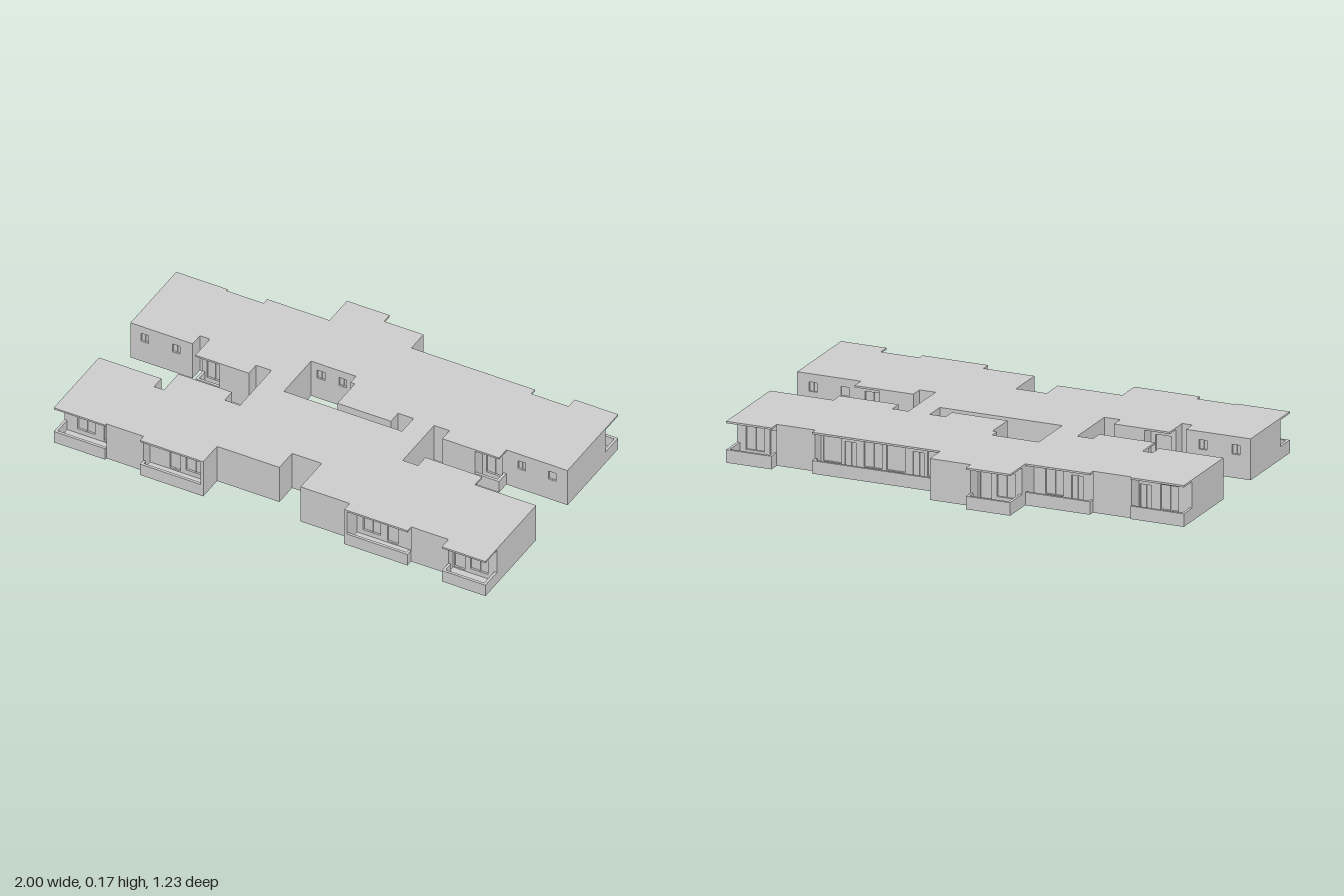
import * as THREE from 'three';

const ROOF = 0.175, SLAB = 0.008, FLOOR = 0.008, WALL = 0.012, RAIL = 0.055;

// Plan outlines as [x, z], clockwise seen from above
const footprint = [
  [-1, -0.45], [-0.765, -0.45], [-0.765, -0.44], [-0.595, -0.44], [-0.595, -0.47], [-0.31, -0.47],
  [-0.31, -0.615], [-0.115, -0.615], [-0.115, -0.57], [0.065, -0.57], [0.065, -0.47], [0.63, -0.47],
  [0.63, -0.44], [0.8, -0.44], [0.8, -0.49], [1, -0.49], [1, -0.07], [0.72, -0.07], [0.72, -0.01],
  [0.46, -0.01], [0.46, -0.07], [0.39, -0.07], [0.39, 0.19], [0.46, 0.19], [0.46, 0.13], [0.72, 0.13],
  [0.72, 0.19], [1, 0.19], [1, 0.61], [0.8, 0.61], [0.8, 0.555], [0.63, 0.555], [0.63, 0.585],
  [0.34, 0.585], [0.34, 0.54], [0.115, 0.54], [0.115, 0.365], [-0.02, 0.365], [-0.02, 0.47],
  [-0.305, 0.47], [-0.305, 0.585], [-0.595, 0.585], [-0.595, 0.555], [-0.765, 0.555], [-0.765, 0.565],
  [-1, 0.565], [-1, 0.19], [-0.715, 0.19], [-0.715, 0.25], [-0.67, 0.25], [-0.67, 0.13],
  [-0.425, 0.13], [-0.425, 0.19], [-0.355, 0.19], [-0.355, -0.07], [-0.425, -0.07], [-0.425, -0.01],
  [-0.67, -0.01], [-0.67, -0.13], [-0.715, -0.13], [-0.715, -0.07], [-1, -0.07],
];
const courtyard = [
  [-0.245, -0.2], [-0.04, -0.2], [-0.04, -0.155], [-0.02, -0.155], [-0.02, -0.01], [0.225, -0.01],
  [0.225, -0.07], [0.295, -0.07], [0.295, 0.025], [-0.245, 0.025],
];
// Enclosed rooms: the footprint with balconies and loggias set back
const rooms = [
  [-1, -0.37], [-0.765, -0.37], [-0.765, -0.44], [-0.595, -0.44], [-0.595, -0.385], [-0.31, -0.385],
  [-0.31, -0.5], [-0.115, -0.5], [-0.115, -0.57], [0.065, -0.57], [0.065, -0.385], [0.63, -0.385],
  [0.63, -0.44], [0.8, -0.44], [0.8, -0.385], [1, -0.385], [1, -0.07], [0.61, -0.07], [0.61, -0.01],
  [0.46, -0.01], [0.46, -0.07], [0.39, -0.07], [0.39, 0.19], [0.46, 0.19], [0.46, 0.13], [0.61, 0.13],
  [0.61, 0.19], [1, 0.19], [1, 0.515], [0.8, 0.515], [0.8, 0.555], [0.63, 0.555], [0.63, 0.5],
  [0.34, 0.5], [0.34, 0.54], [0.115, 0.54], [0.115, 0.365], [-0.02, 0.365], [-0.02, 0.47],
  [-0.305, 0.47], [-0.305, 0.5], [-0.595, 0.5], [-0.595, 0.555], [-0.765, 0.555], [-0.765, 0.475],
  [-1, 0.475], [-1, 0.19], [-0.715, 0.19], [-0.715, 0.25], [-0.67, 0.25], [-0.67, 0.19], [-0.56, 0.19],
  [-0.56, 0.13], [-0.425, 0.13], [-0.425, 0.19], [-0.355, 0.19], [-0.355, -0.07], [-0.425, -0.07],
  [-0.425, -0.01], [-0.56, -0.01], [-0.56, -0.07], [-0.67, -0.07], [-0.67, -0.13], [-0.715, -0.13],
  [-0.715, -0.07], [-1, -0.07],
];
// Outer edges of balconies and loggias
const balconies = [
  [[-1, -0.37], [-1, -0.45], [-0.765, -0.45], [-0.765, -0.44]],
  [[-0.595, -0.44], [-0.595, -0.47], [-0.31, -0.47]],
  [[-0.31, -0.5], [-0.31, -0.615], [-0.115, -0.615], [-0.115, -0.57]],
  [[0.065, -0.47], [0.63, -0.47], [0.63, -0.44]],
  [[0.8, -0.44], [0.8, -0.49], [1, -0.49], [1, -0.385]],
  [[0.72, -0.07], [0.72, -0.01], [0.61, -0.01]],
  [[0.61, 0.13], [0.72, 0.13], [0.72, 0.19]],
  [[1, 0.515], [1, 0.61], [0.8, 0.61], [0.8, 0.555]],
  [[0.63, 0.555], [0.63, 0.585], [0.34, 0.585]],
  [[-0.305, 0.585], [-0.595, 0.585], [-0.595, 0.555]],
  [[-0.765, 0.555], [-0.765, 0.565], [-1, 0.565], [-1, 0.475]],
  [[-0.67, 0.19], [-0.67, 0.13], [-0.56, 0.13]],
  [[-0.56, -0.01], [-0.67, -0.01], [-0.67, -0.07]],
];
// Openings as [x, z, width, sill, head]
const openings = [];
const door = (x, z) => openings.push([x, z, 0.05, 0.014, 0.125]);
const glazing = (x, z, w = 0.1) => openings.push([x, z, w, 0.03, 0.135]);
const smallWindow = (x, z) => openings.push([x, z, 0.035, 0.1, 0.14]);
for (const z of [-0.07, 0.19]) for (const x of [-0.935, -0.79, 0.79, 0.93]) smallWindow(x, z);
for (const x of [-0.2, -0.1]) smallWindow(x, -0.2);
for (const [x, z] of [[-0.795, 0.475], [-0.48, 0.5], [0.515, 0.5], [0.83, 0.515],
  [-0.795, -0.37], [-0.5, -0.385], [-0.15, -0.5], [0.2, -0.385], [0.5, -0.385], [0.83, -0.385]]) door(x, z);
for (const [x, z] of [[-0.9, 0.475], [-0.39, 0.5], [0.42, 0.5], [0.92, 0.515],
  [-0.9, -0.37], [-0.4, -0.385], [-0.24, -0.5], [0.12, -0.385], [0.3, -0.385], [0.4, -0.385],
  [0.58, -0.385], [0.92, -0.385]]) glazing(x, z, 0.08);
for (const z of [-0.07, 0.19]) for (const x of [-0.615, 0.665]) glazing(x, z, 0.07);

const grey = new THREE.MeshStandardMaterial({ color: 0xcccccc, flatShading: true });
const vectors = (points) => points.map(([x, y]) => new THREE.Vector2(x, y));

function part(parent, geometry, name) {
  const mesh = new THREE.Mesh(geometry, grey);
  mesh.name = name;
  parent.add(mesh);
  return mesh;
}

// Horizontal slab cut from the plan, with the courtyard left open
function slab(parent, top, depth, name) {
  const shape = new THREE.Shape(vectors(footprint));
  shape.holes.push(new THREE.Path(vectors(courtyard)));
  const geometry = new THREE.ExtrudeGeometry(shape, { depth, bevelEnabled: false });
  part(parent, geometry.rotateX(Math.PI / 2), name).position.y = top;
}

// Upright panel from a to b, thickened inwards, with its openings cut and glazed
function panel(parent, a, b, bottom, top, name) {
  const dx = b[0] - a[0], dz = b[1] - a[1], length = Math.hypot(dx, dz);
  const group = new THREE.Group();
  group.name = name;
  group.position.set(a[0], 0, a[1]);
  group.rotation.y = Math.atan2(-dz, dx);
  const shape = new THREE.Shape(vectors([[0, bottom], [length, bottom], [length, top], [0, top]]));
  for (const [x, z, w, sill, head] of top > RAIL ? openings : []) {
    const s = (x - a[0]) * Math.sign(dx);
    if (Math.abs(dz) > 1e-6 || Math.abs(z - a[1]) > 1e-6 || s < w / 2 || s > length - w / 2) continue;
    shape.holes.push(new THREE.Path(vectors(
      [[s - w / 2, sill], [s - w / 2, head], [s + w / 2, head], [s + w / 2, sill]])));
    const h = head - sill, y = (head + sill) / 2;
    part(group, new THREE.BoxGeometry(w, h, 0.002), 'windowPane').position.set(s, y, WALL * 0.8);
    part(group, new THREE.BoxGeometry(0.004, h, 0.004), 'mullion').position.set(s, y, WALL * 0.6);
  }
  part(group, new THREE.ExtrudeGeometry(shape, { depth: WALL, bevelEnabled: false }), name + 'Panel');
  parent.add(group);
}

export function createModel() {
  const building = new THREE.Group();
  building.name = 'building';
  slab(building, FLOOR, FLOOR, 'floorSlab');
  slab(building, ROOF, SLAB, 'flatRoof');

  // Outer and courtyard walls
  for (const [loop, name] of [[rooms, 'outerWall'], [[...courtyard].reverse(), 'courtyardWall']]) {
    loop.forEach((p, i) => panel(building, p, loop[(i + 1) % loop.length], FLOOR, ROOF - SLAB, name));
  }
  // Low parapets around the balconies
  for (const edge of balconies) {
    for (let i = 1; i < edge.length; i++) panel(building, edge[i - 1], edge[i], FLOOR, RAIL, 'balconyParapet');
  }
  // Full-height end walls of the two front balconies
  panel(building, [0.34, 0.585], [0.34, 0.5], FLOOR, ROOF - SLAB, 'balconyEndWall');
  panel(building, [-0.305, 0.5], [-0.305, 0.585], FLOOR, ROOF - SLAB, 'balconyEndWall');
  return building;
}
